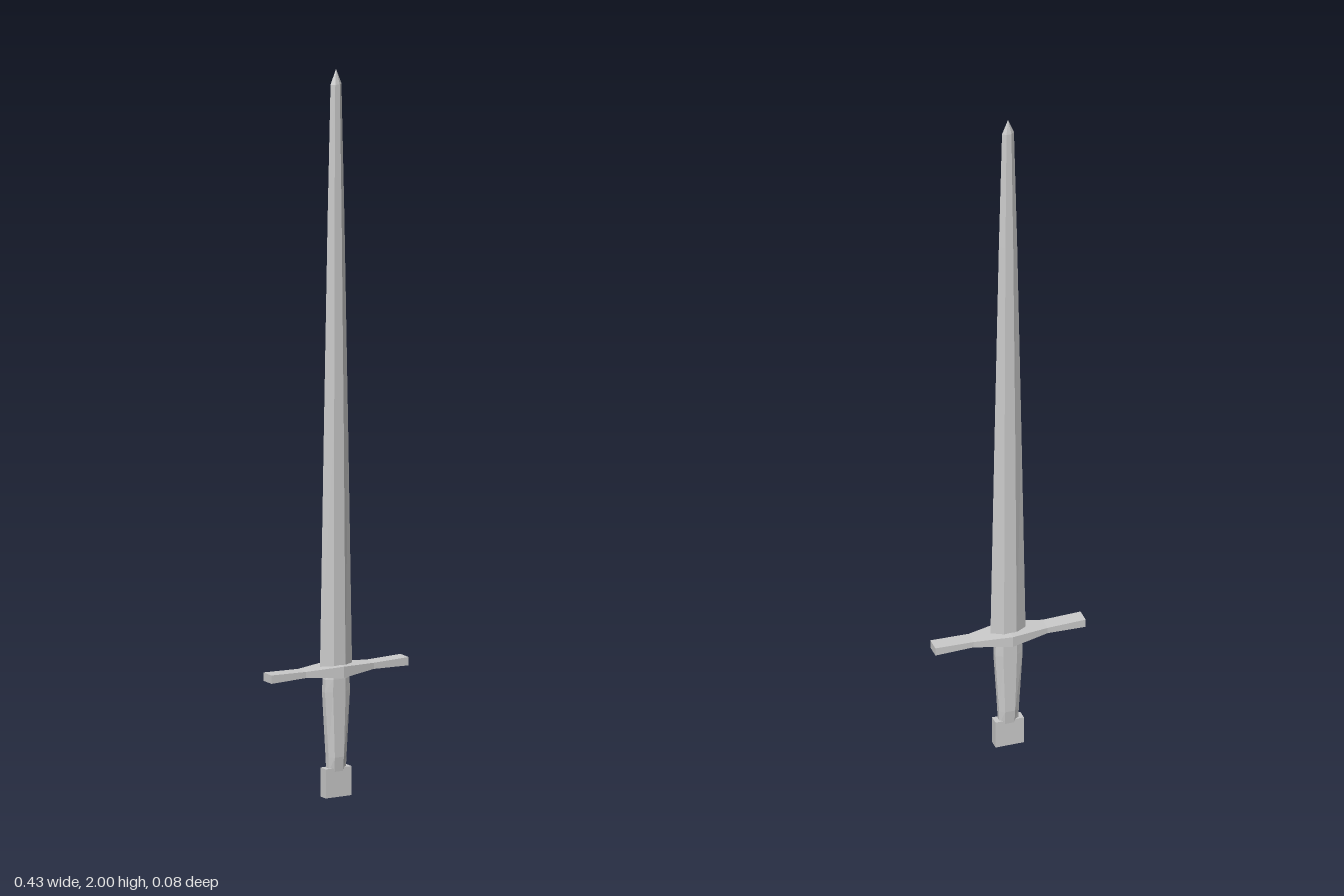
import * as THREE from 'three';

const material = new THREE.MeshStandardMaterial({ color: 0xcccccc, flatShading: true });

// Skins a stack of equal-length rings ([x, y, z] points) and caps both ends.
// Rings run counter-clockwise seen from the end of the stack.
function loft(name, rings) {
  const n = rings[0].length;
  const positions = rings.flat(2);
  const index = [];
  for (let r = 0; r < rings.length - 1; r++) {
    for (let i = 0; i < n; i++) {
      const a = r * n + i, b = r * n + (i + 1) % n;
      index.push(a, b, b + n, a, b + n, a + n);
    }
  }
  const last = (rings.length - 1) * n;
  for (let i = 1; i < n - 1; i++) {
    index.push(0, i + 1, i, last, last + i, last + i + 1);
  }
  const indexed = new THREE.BufferGeometry();
  indexed.setAttribute('position', new THREE.Float32BufferAttribute(positions, 3));
  indexed.setIndex(index);
  const geometry = indexed.toNonIndexed();
  geometry.computeVertexNormals();
  const mesh = new THREE.Mesh(geometry, material);
  mesh.name = name;
  return mesh;
}

// Flat-faced hexagon with sharp edges at +x and -x
const hexRing = (y, w, flat, d) => [
  [w, y, 0], [flat, y, -d], [-flat, y, -d], [-w, y, 0], [-flat, y, d], [flat, y, d],
];

// Chamfered rectangle
const octRing = (y, w, d) => {
  const f = w * 0.5, e = d * 0.45;
  return [
    [w, y, e], [w, y, -e], [f, y, -d], [-f, y, -d],
    [-w, y, -e], [-w, y, e], [-f, y, d], [f, y, d],
  ];
};

// Upright rectangle across the guard at a given x
const guardRing = ([x, y0, y1, d]) => [
  [x, y0, d], [x, y0, -d], [x, y1, -d], [x, y1, d],
];

export function createModel() {
  const sword = new THREE.Group();
  sword.name = 'sword';

  // Long tapering blade, ending in a short point
  sword.add(loft('blade', [
    hexRing(0.35, 0.05, 0.018, 0.02),
    hexRing(1.0, 0.038, 0.015, 0.016),
    hexRing(1.6, 0.026, 0.011, 0.011),
    hexRing(1.96, 0.017, 0.007, 0.008),
    hexRing(2.0, 0.001, 0.0005, 0.001),
  ]));

  // Crossguard, thick in the middle with straight arms
  const half = [[0.213, 0.338, 0.361, 0.021], [0.105, 0.341, 0.358, 0.021]];
  const mirrored = half.map(([x, ...rest]) => [-x, ...rest]);
  sword.add(loft('crossguard', [
    ...mirrored, [0, 0.333, 0.364, 0.042], ...half.slice().reverse(),
  ].map(guardRing)));

  // Grip, swelling just below the guard
  sword.add(loft('grip', [
    octRing(0.07, 0.027, 0.014),
    octRing(0.11, 0.028, 0.018),
    octRing(0.29, 0.039, 0.018),
    octRing(0.325, 0.037, 0.018),
    octRing(0.34, 0.032, 0.017),
  ]));

  // Block pommel
  const pommel = new THREE.Mesh(new THREE.BoxGeometry(0.08, 0.08, 0.028), material);
  pommel.name = 'pommel';
  pommel.position.y = 0.04;
  sword.add(pommel);

  return sword;
}
